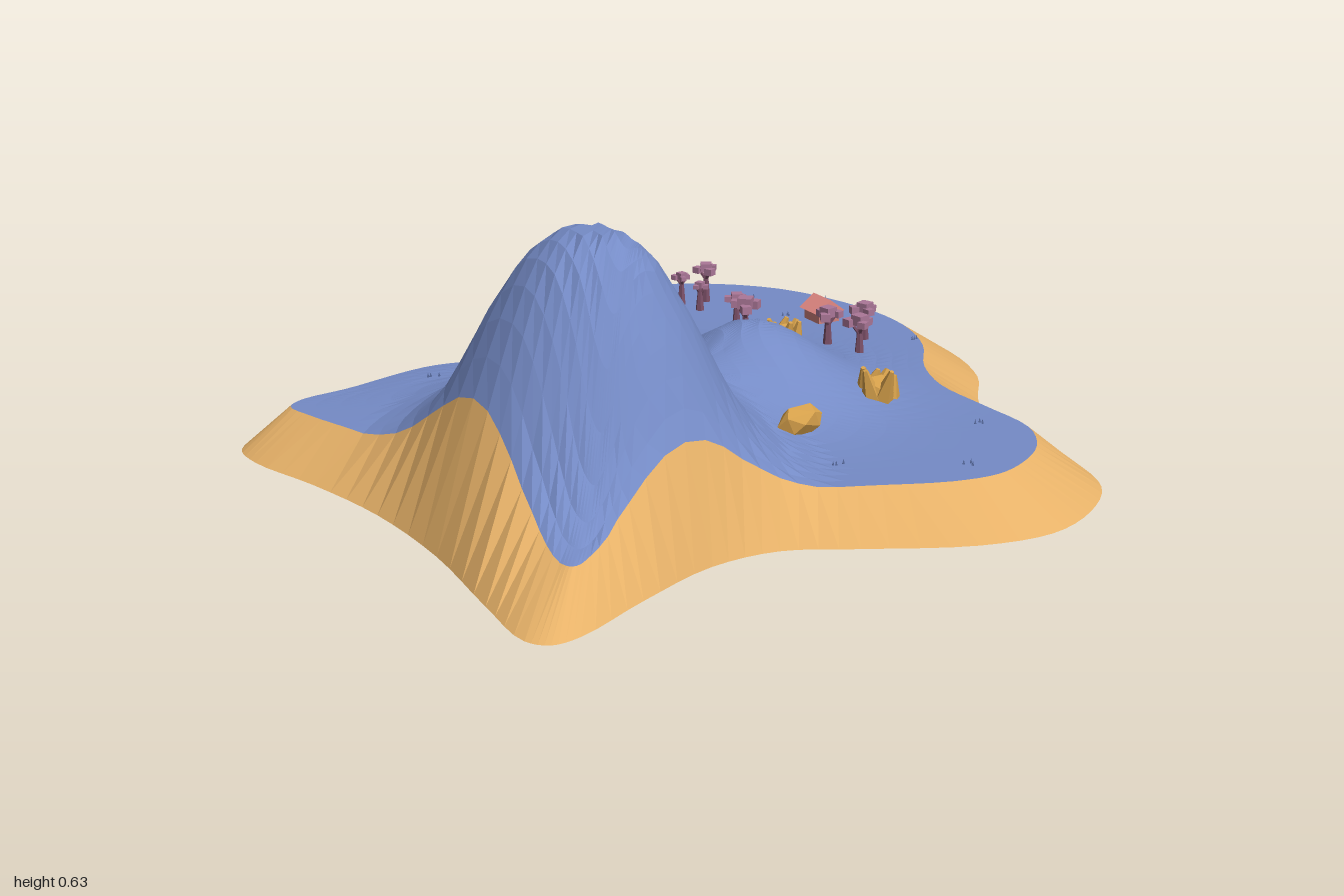
import * as THREE from 'three';
import { ConvexGeometry } from 'three/addons/geometries/ConvexGeometry.js';

// Shoreline (foot of the sand) and meadow edge (top of the sand), as paired x, z points
const SHORE = [
  -.29, -.96, -.02, -.93, .17, -.84, .30, -.71, .43, -.62, .59, -.585, .75, -.57, .885, -.505, .97, -.37,
  1, -.22, .95, -.05, .81, .16, .715, .30, .69, .46, .735, .67, .79, .86, .785, .925, .74, .955,
  .565, .93, .3, .88, .03, .865, -.21, .89, -.42, .93, -.52, .915, -.585, .82, -.565, .67, -.52, .51,
  -.53, .365, -.62, .24, -.795, .10, -.94, -.05, -1, -.265, -.965, -.48, -.85, -.69, -.635, -.87];
const EDGE = [
  -.26, -.82, -.075, -.80, .085, -.72, .22, -.595, .35, -.525, .51, -.505, .68, -.48, .78, -.40, .83, -.30,
  .845, -.21, .815, -.10, .71, .08, .63, .23, .59, .40, .62, .62, .67, .75, .68, .80, .65, .81,
  .51, .78, .3, .745, .03, .73, -.21, .76, -.395, .795, -.485, .80, -.51, .75, -.48, .62, -.45, .455,
  -.45, .32, -.50, .20, -.66, .055, -.795, -.10, -.845, -.265, -.81, -.435, -.715, -.61, -.53, -.76];
const CENTRE = [.1, .12];

const mat = (color, side = THREE.FrontSide) =>
  new THREE.MeshStandardMaterial({ color, flatShading: true, roughness: 1, side });
const MAT = {
  grass: mat(0x758bc6, THREE.DoubleSide), sand: mat(0xe6b168, THREE.DoubleSide), rock: mat(0xd8a24c),
  trunk: mat(0x7c5068), leaf: mat(0xab7798), wall: mat(0xd0837e), roof: mat(0xe58a84), tuft: mat(0x56699c),
};

let seed = 7;
const rand = () => (seed = (seed * 16807) % 2147483647) / 2147483647;

function add(parent, name, geometry, material, x = 0, y = 0, z = 0) {
  const mesh = new THREE.Mesh(geometry, material);
  mesh.name = name;
  mesh.position.set(x, y, z);
  parent.add(mesh);
  return mesh;
}

function loop(flat, n) {
  const pts = [];
  for (let i = 0; i < flat.length; i += 2) pts.push(new THREE.Vector3(flat[i], 0, flat[i + 1]));
  const curve = new THREE.CatmullRomCurve3(pts, true, 'centripetal');
  return Array.from({ length: n }, (_, i) => curve.getPoint(i / n));
}

// Ground height: plain + main mountain + small hill + western ridge
const PROFILE = [[0, .54], [.055, .54], [.1, .505], [.14, .465], [.21, .345], [.3, .16], [.36, .075], [.43, .02], [.5, 0], [9, 0]];
const bump = (dx, dz, sx, sz) => Math.exp(-(dx * dx) / (2 * sx * sx) - (dz * dz) / (2 * sz * sz));
function height(x, z) {
  const dx = x - .285, dz = z - .465;
  const r = Math.hypot(dx < 0 ? dx / 1.22 : dx, dz);
  const i = PROFILE.findIndex((p) => p[0] > r);
  const [r0, h0] = PROFILE[i - 1], [r1, h1] = PROFILE[i];
  const mountain = h0 + (h1 - h0) * (r - r0) / (r1 - r0);
  return .09 + mountain + .18 * bump(x - .1, z + .13, .16, .16) + .05 * bump(x + .3, z - .45, .2, .15);
}

// Surface through closed rings of points
function loft(rings) {
  const n = rings[0].length, pos = [], index = [];
  rings.forEach((ring) => ring.forEach((p) => pos.push(p.x, p.y, p.z)));
  for (let k = 0; k < rings.length - 1; k++) {
    for (let i = 0; i < n; i++) {
      const a = k * n + i, b = k * n + (i + 1) % n;
      index.push(a, a + n, b, b, a + n, b + n);
    }
  }
  const g = new THREE.BufferGeometry();
  g.setAttribute('position', new THREE.Float32BufferAttribute(pos, 3));
  g.setIndex(index);
  g.computeVertexNormals();
  return g;
}

function buildGround(group) {
  const N = 140, RINGS = 15;
  const shore = loop(SHORE, N), edge = loop(EDGE, N);
  edge.forEach((p) => { p.y = height(p.x, p.z); });
  add(group, 'sandSlope', loft([edge, shore]), MAT.sand);

  // Meadow and mountains: rings shrinking from the edge to the centre
  const rings = [edge];
  for (let k = 1; k <= RINGS; k++) {
    const t = 1 - k / RINGS;
    rings.push(edge.map((p) => {
      const x = CENTRE[0] + (p.x - CENTRE[0]) * t, z = CENTRE[1] + (p.z - CENTRE[1]) * t;
      return new THREE.Vector3(x, height(x, z), z);
    }));
  }
  add(group, 'meadowAndMountains', loft(rings.reverse()), MAT.grass);
}

// Tree: forked trunk with a few blocky leaf clumps
function buildTree(group, x, z, h, s) {
  const tree = new THREE.Group();
  tree.name = 'tree';
  tree.position.set(x, height(x, z), z);
  tree.rotation.y = rand() * 6;
  add(tree, 'trunk', new THREE.CylinderGeometry(.006, .012, h * .75, 6), MAT.trunk, 0, h * .375, 0);
  const clumps = [[0, 0, 0, 1], [.8, -.25, .2, .75], [-.6, -.3, .5, .7], [-.1, -.2, -.8, .65]];
  for (const [cx, cy, cz, k] of clumps) {
    const leaf = add(tree, 'leafClump', new THREE.BoxGeometry(s * k, s * k * .8, s * k), MAT.leaf,
      cx * s, h - s * .4 + cy * s, cz * s);
    leaf.rotation.y = rand();
    const branch = add(tree, 'branch', new THREE.CylinderGeometry(.004, .005, s, 5), MAT.trunk,
      cx * s / 2, h - s * .9 + cy * s / 2, cz * s / 2);
    branch.rotation.set(cz * .8, 0, -cx * .8);
  }
  group.add(tree);
}

// Boulder: convex hull of scattered points, wx * h * wz
function boulder(wx, h, wz, count = 16) {
  const pts = [];
  for (let i = 0; i < count; i++) {
    const a = i * 2.4, v = (i + .5) / count, r = Math.sqrt(1 - (2 * v - 1) ** 2) * (.8 + .3 * rand());
    pts.push(new THREE.Vector3(Math.cos(a) * r * wx / 2, v * h - .01, Math.sin(a) * r * wz / 2));
  }
  return new ConvexGeometry(pts);
}

// Crag: leaning pointed shards around a core
function buildCrag(group, x, z, size, h) {
  const crag = new THREE.Group();
  crag.name = 'crag';
  crag.position.set(x, height(x, z), z);
  add(crag, 'core', boulder(size * .65, h * .75, size * .6), MAT.rock);
  for (let i = 0; i < 6; i++) {
    const a = i * 1.05 + rand() * .5, sh = h * (.65 + .35 * rand());
    const shard = add(crag, 'shard', new THREE.CylinderGeometry(.006, size * .2, sh, 5), MAT.rock,
      Math.cos(a) * size * .27, sh * .45, Math.sin(a) * size * .27);
    shard.rotation.set(Math.sin(a) * .35, a, -Math.cos(a) * .35);
  }
  group.add(crag);
}

function buildHouse(group) {
  const house = new THREE.Group();
  house.name = 'house';
  house.position.set(-.24, height(-.24, -.66), -.66);
  house.rotation.y = -.14;
  add(house, 'walls', new THREE.BoxGeometry(.07, .036, .065), MAT.wall, 0, .016, 0);
  const gable = new THREE.Shape([[-.045, 0], [.045, 0], [0, .034]].map((p) => new THREE.Vector2(...p)));
  const roof = add(house, 'roof', new THREE.ExtrudeGeometry(gable, { depth: .084, bevelEnabled: false }),
    MAT.roof, -.042, .03, 0);
  roof.rotation.y = Math.PI / 2;
  group.add(house);
}

export function createModel() {
  const group = new THREE.Group();
  group.name = 'island';
  buildGround(group);

  // x, z, height, clump size
  const trees = [
    [-.565, -.52, .11, .03], [-.51, -.455, .08, .02], [-.585, -.45, .09, .022], [-.04, -.63, .1, .032],
    [-.055, -.515, .1, .032], [.05, -.53, .1, .033], [-.31, -.42, .1, .028], [-.225, -.38, .11, .036],
    [-.485, -.2, .135, .044], [-.585, -.155, .11, .033]];
  trees.forEach((t) => buildTree(group, ...t));
  buildHouse(group);

  buildCrag(group, -.075, -.385, .12, .085);
  buildCrag(group, .36, -.305, .125, .08);
  // x, z, width, height, depth
  const boulders = [[.415, -.02, .08, .075, .13], [-.17, -.06, .055, .06, .06], [-.175, -.01, .03, .035, .08], [-.11, -.125, .03, .03, .03]];
  for (const [x, z, w, h, d] of boulders) add(group, 'boulder', boulder(w, h, d), MAT.rock, x, height(x, z) - .005, z);

  // Small grass tufts
  const tufts = [[-.33, -.6], [-.76, -.18], [-.35, -.155], [-.35, .49], [.77, -.2], [.58, .03], [-.36, -.78],
    [-.79, -.48], [.05, -.73], [-.62, -.33], [-.5, -.64], [.6, -.4]];
  for (const [x, z] of tufts) {
    for (let i = 0; i < 3; i++) {
      const px = x + (rand() - .5) * .03, pz = z + (rand() - .5) * .03;
      add(group, 'grassTuft', new THREE.ConeGeometry(.004, .012, 4), MAT.tuft, px, height(px, pz) + .005, pz);
    }
  }
  return group;
}
